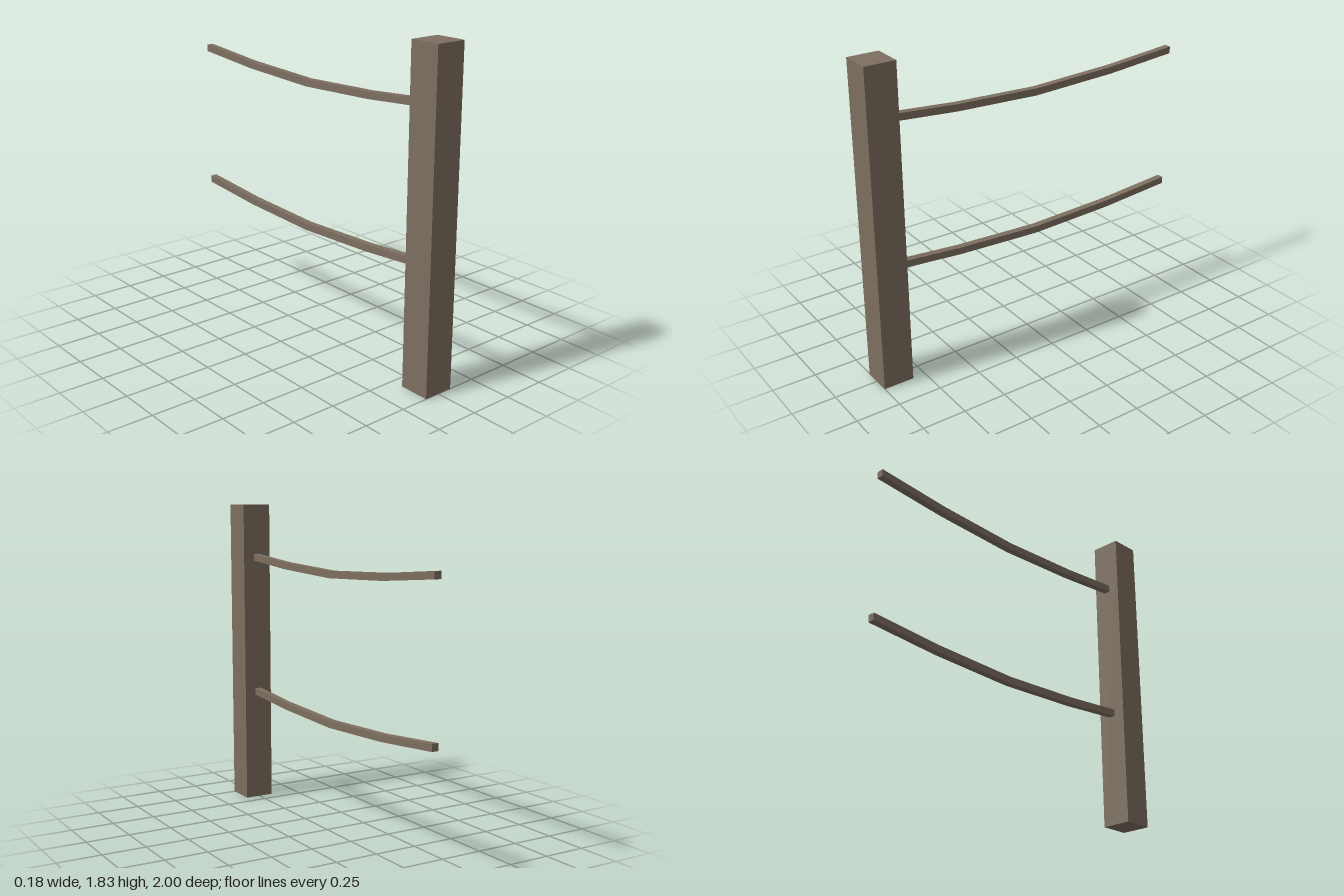
import * as THREE from 'three';

const wood = new THREE.MeshStandardMaterial({ color: 0x7d6f60, flatShading: true });

// Sagging centre line of a rail, as [z, height above the rail's lowest point]
const sag = [[0.91, 0.057], [0.45, 0.02], [-0.05, 0], [-0.56, 0.02], [-1, 0.057]];
const thickness = 0.04;

// Side profile of the rail, extruded across its width
function makeRail(name, y) {
  const h = thickness / 2;
  const upper = sag.map(([z, d]) => new THREE.Vector2(-z, d + h));
  const lower = sag.map(([z, d]) => new THREE.Vector2(-z, d - h)).reverse();
  const geometry = new THREE.ExtrudeGeometry(new THREE.Shape([...upper, ...lower]), {
    depth: thickness, bevelEnabled: false,
  });
  geometry.translate(0, 0, -h);
  geometry.rotateY(Math.PI / 2); // profile x becomes -z
  const rail = new THREE.Mesh(geometry, wood);
  rail.name = name;
  rail.position.y = y;
  return rail;
}

export function createModel() {
  const group = new THREE.Group();
  group.name = 'fenceSection';

  // Square upright at the front end
  const post = new THREE.Mesh(new THREE.BoxGeometry(0.176, 1.828, 0.176), wood);
  post.name = 'post';
  post.position.set(0, 0.914, 0.912);
  group.add(post);

  // Two sagging rails running back from the post
  group.add(makeRail('lowerRail', 0.626), makeRail('upperRail', 1.459));
  return group;
}
